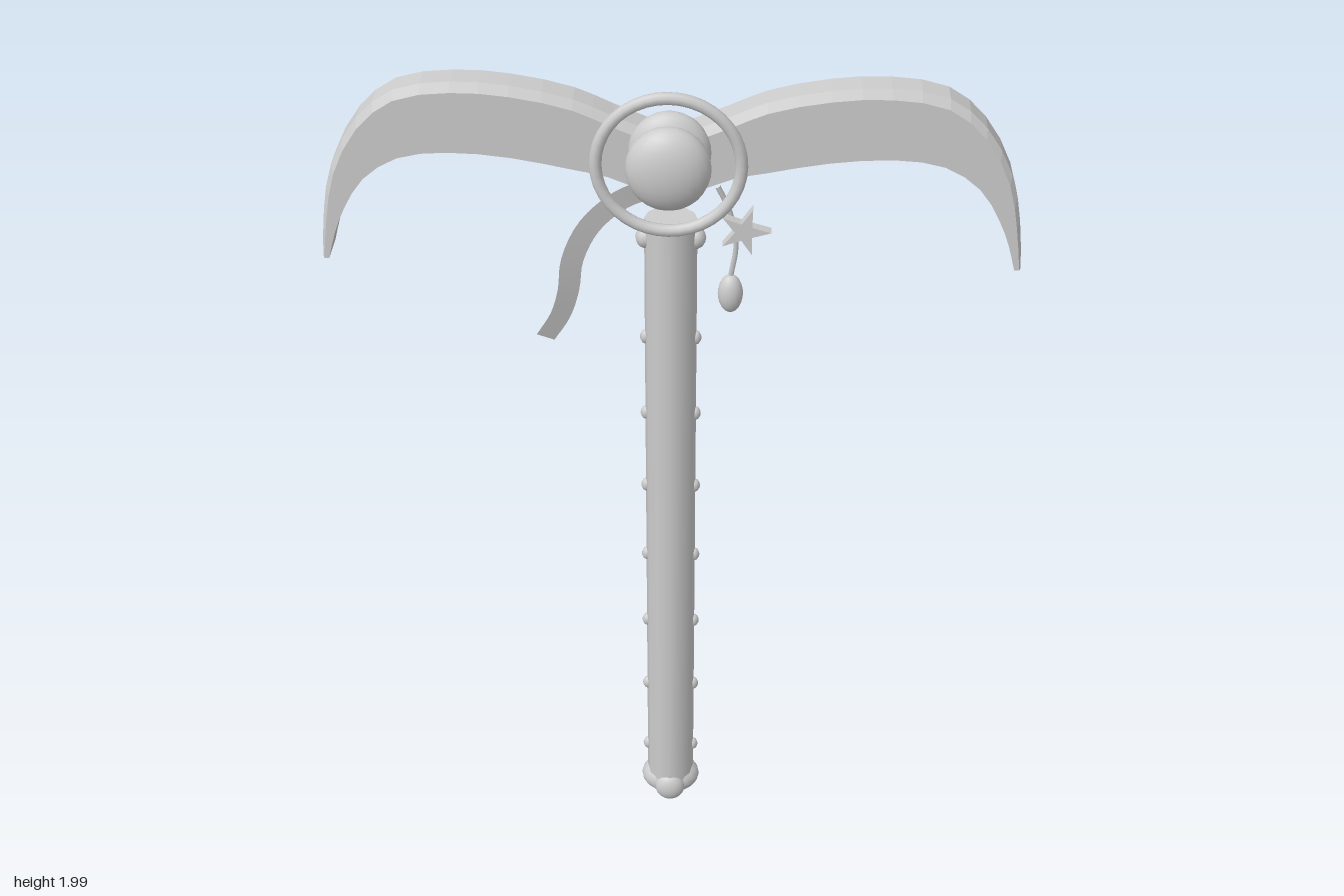
import * as THREE from 'three';

const grey = new THREE.MeshStandardMaterial({ color: 0xcccccc });
grey.name = 'plain grey';
const greyThin = new THREE.MeshStandardMaterial({ color: 0xcccccc, side: THREE.DoubleSide });
greyThin.name = 'plain grey thin';

const SHAFT_Z = -0.067;

function add(parent, name, geometry, position = [0, 0, 0], material = grey) {
  const mesh = new THREE.Mesh(geometry, material);
  mesh.name = name;
  mesh.position.set(...position);
  parent.add(mesh);
  return mesh;
}

function ellipsoid(rx, ry, rz, w = 20, h = 14) {
  return new THREE.SphereGeometry(1, w, h).scale(rx, ry, rz);
}

const spline = (points) => new THREE.CatmullRomCurve3(points.map(([x, y, z = 0]) => new THREE.Vector3(x, y, z)));

// Both curved blades as one loft, swept from tip to tip through a V at the centre
function bladesGeometry() {
  const upper = spline([[0, 1.85], [0.12, 1.9], [0.2, 1.935], [0.33, 1.963], [0.45, 1.97], [0.57, 1.95],
    [0.65, 1.885], [0.71, 1.78], [0.735, 1.675], [0.747, 1.56]]);
  const lower = spline([[0, 1.71], [0.13, 1.765], [0.2, 1.78], [0.33, 1.805], [0.465, 1.815], [0.57, 1.8],
    [0.645, 1.75], [0.69, 1.68], [0.715, 1.62], [0.732, 1.56]]);
  const steps = 18;
  const sections = [];
  for (let i = -steps; i <= steps; i++) {
    const t = Math.abs(i) / steps;
    const top = upper.getPoint(t);
    const bottom = lower.getPoint(t);
    if (i < 0) { top.x *= -1; bottom.x *= -1; }
    const inset = Math.min(0.02, top.distanceTo(bottom) * 0.3);
    const shoulder = top.clone().add(bottom.clone().sub(top).setLength(inset));
    const ring = [[bottom, 0.041], [shoulder, 0.041], [top, 0.029], [top, -0.029], [shoulder, -0.041], [bottom, -0.041]];
    sections.push(ring.map(([p, z]) => [p.x, p.y, SHAFT_Z - 0.003 + z]));
  }
  const out = [];
  const tri = (a, b, c) => out.push(...a, ...b, ...c);
  for (let i = 0; i < sections.length - 1; i++) {
    for (let j = 0; j < 6; j++) {
      const k = (j + 1) % 6;
      const [s, n] = [sections[i], sections[i + 1]];
      tri(s[j], n[j], n[k]);
      tri(s[j], n[k], s[k]);
    }
  }
  const first = sections[0];
  const last = sections[sections.length - 1];
  for (let j = 1; j < 5; j++) {
    tri(first[0], first[j], first[j + 1]);
    tri(last[0], last[j + 1], last[j]);
  }
  const g = new THREE.BufferGeometry();
  g.setAttribute('position', new THREE.Float32BufferAttribute(out, 3));
  g.computeVertexNormals();
  return g;
}

// Flat strip that follows a path and tapers to its end
function ribbonGeometry() {
  const path = spline([[-0.03, 1.775, 0.03], [-0.1, 1.745, 0.033], [-0.165, 1.685, 0.036], [-0.204, 1.6, 0.03],
    [-0.215, 1.52, 0.018], [-0.235, 1.45, 0.006], [-0.27, 1.387, -0.004]]);
  const steps = 24;
  const g = new THREE.PlaneGeometry(1, 1, 1, steps);
  const pos = g.attributes.position;
  for (let i = 0; i <= steps; i++) {
    const p = path.getPoint(i / steps);
    const t = path.getTangent(i / steps);
    const half = 0.026 - 0.005 * (i / steps);
    const side = new THREE.Vector3(t.y, -t.x, 0).setLength(half);
    pos.setXYZ(2 * i, p.x + side.x, p.y + side.y, p.z + 0.006);
    pos.setXYZ(2 * i + 1, p.x - side.x, p.y - side.y, p.z - 0.006);
  }
  g.computeVertexNormals();
  return g;
}

function starGeometry() {
  const shape = new THREE.Shape();
  for (let i = 0; i < 10; i++) {
    const r = i % 2 ? 0.02 : 0.056;
    const a = (i * Math.PI) / 5;
    shape[i ? 'lineTo' : 'moveTo'](r * Math.cos(a), r * Math.sin(a));
  }
  shape.closePath();
  return new THREE.ExtrudeGeometry(shape, { depth: 0.024, bevelEnabled: false });
}

export function createModel() {
  const model = new THREE.Group();
  model.name = 'pickaxe';

  // Handle
  add(model, 'shaft', new THREE.CylinderGeometry(0.057, 0.057, 1.61, 12), [0, 0.845, SHAFT_Z]);
  add(model, 'pommel', ellipsoid(0.072, 0.047, 0.056), [0, 0.055, SHAFT_Z]);
  add(model, 'pommelGem', ellipsoid(0.037, 0.04, 0.025), [0, 0.05, -0.022]);

  // Studs down both sides, with a larger pair under the head
  for (const side of [-1, 1]) {
    for (let i = 0; i < 7; i++) {
      add(model, 'stud', ellipsoid(0.013, 0.017, 0.012, 10, 8), [side * 0.055, 0.155 + 0.2 * i, SHAFT_Z]);
    }
    add(model, 'topStud', ellipsoid(0.022, 0.025, 0.024, 12, 8), [side * 0.054, 1.605, SHAFT_Z]);
  }

  // Head
  add(model, 'blades', bladesGeometry());
  const orb = new THREE.Group();
  orb.name = 'orb';
  orb.position.set(0, 1.84, 0);
  model.add(orb);
  add(orb, 'frontOrb', ellipsoid(0.088, 0.092, 0.047, 24, 16), [0, 0, 0.075]);
  add(orb, 'backOrb', ellipsoid(0.086, 0.092, 0.04, 24, 16), [0, 0, 0.002]);
  add(orb, 'orbNeck', new THREE.CylinderGeometry(0.056, 0.056, 0.06, 20).rotateX(Math.PI / 2), [0, 0, 0.04]);
  add(orb, 'ring', new THREE.TorusGeometry(0.149, 0.013, 10, 40), [0, 0, 0.061]);

  // Hanging trinkets
  add(model, 'ribbon', ribbonGeometry(), [0, 0, 0], greyThin);
  const cord = spline([[0.1, 1.77, 0.012], [0.125, 1.71, 0.006], [0.14, 1.63, 0.003], [0.13, 1.55, 0]]);
  add(model, 'cord', new THREE.TubeGeometry(cord, 16, 0.006, 6));
  add(model, 'bead', ellipsoid(0.027, 0.045, 0.024, 16, 12), [0.13, 1.51, 0.002]);
  add(model, 'star', starGeometry(), [0.157, 1.675, 0.012]);

  // Rest the lowest point on the ground
  const box = new THREE.Box3().setFromObject(model);
  for (const part of model.children) part.position.y -= box.min.y;
  return model;
}
